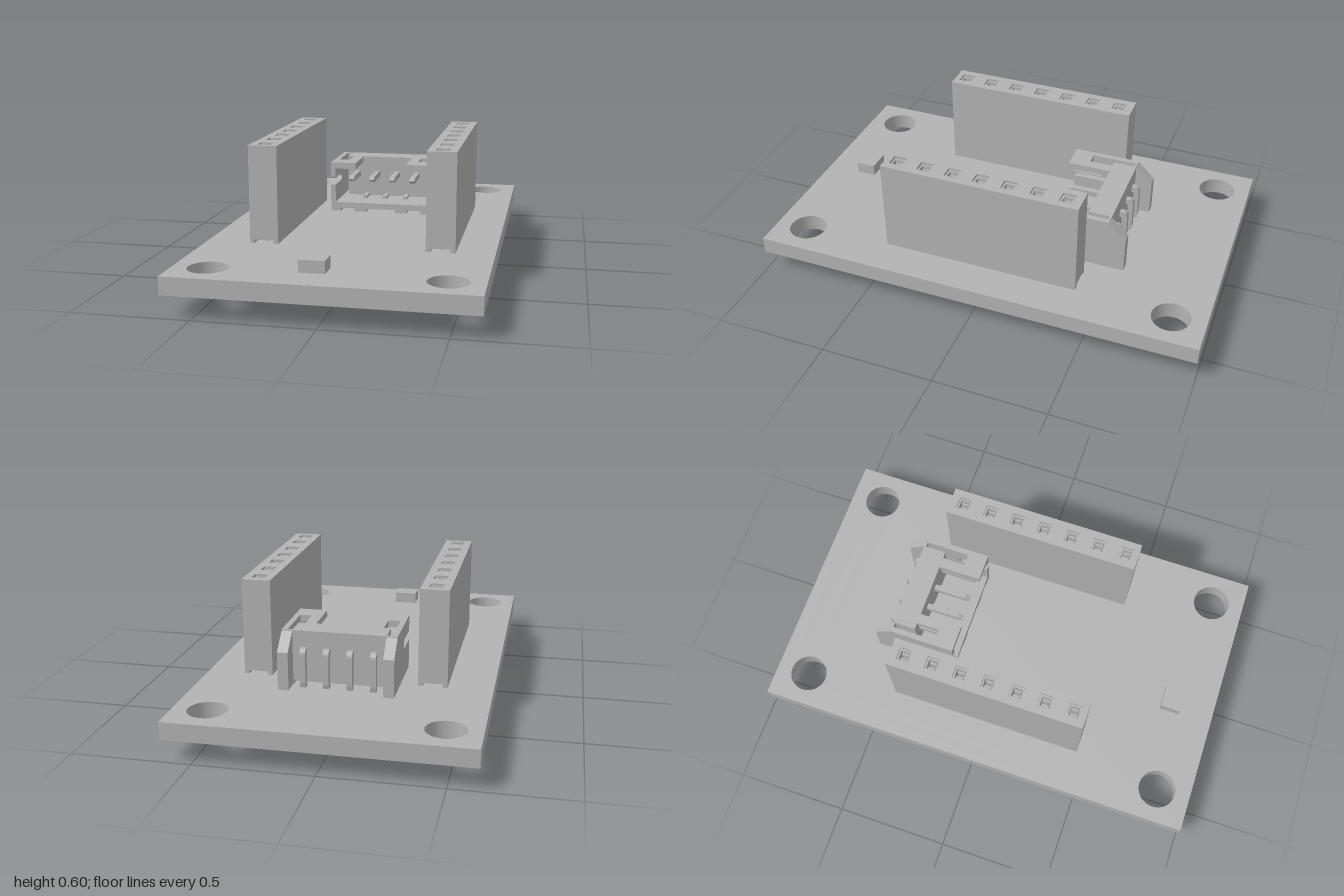
import * as THREE from 'three';

const grey = new THREE.MeshStandardMaterial({ color: 0xb3b3b3 });
grey.name = 'plain grey';

const add = (parent, name, geometry) => {
  const m = new THREE.Mesh(geometry, grey);
  m.name = name;
  parent.add(m);
  return m;
};

// Box given by its limits on each axis
function box(parent, name, x0, x1, y0, y1, z0, z1) {
  const m = add(parent, name, new THREE.BoxGeometry(x1 - x0, y1 - y0, z1 - z0));
  m.position.set((x0 + x1) / 2, (y0 + y1) / 2, (z0 + z1) / 2);
  return m;
}

const polygon = (points) => new THREE.Shape(points.map(([a, b]) => new THREE.Vector2(a, b)));
const rect = (x0, x1, z0, z1) => polygon([[x0, -z1], [x1, -z1], [x1, -z0], [x0, -z0]]);

// Plan outline (x, -z) raised from y0 to y1
function slab(parent, name, shape, y0, y1) {
  const g = new THREE.ExtrudeGeometry(shape, { depth: y1 - y0, bevelEnabled: false, curveSegments: 20 });
  return add(parent, name, g.rotateX(-Math.PI / 2).translate(0, y0, 0));
}

// Side outline (z, y) extended from x0 to x1
function side(parent, name, shape, x0, x1) {
  const g = new THREE.ExtrudeGeometry(shape, { depth: x1 - x0, bevelEnabled: false, curveSegments: 8 });
  return add(parent, name, g.rotateY(-Math.PI / 2).translate(x1, 0, 0));
}

function makeBoard(parent) {
  const outline = rect(-0.622, 0.622, -1, 1);
  for (const x of [-0.476, 0.476]) for (const z of [-0.85, 0.85]) {
    outline.holes.push(new THREE.Path().absarc(x, z, 0.083, 0, Math.PI * 2, true));
  }
  slab(parent, 'circuitBoard', outline, 0.094, 0.17);
}

// Seven-way socket strip centred on x
function makeHeader(parent, x, name) {
  const header = new THREE.Group();
  header.name = name;
  header.position.x = x;
  parent.add(header);
  const hw = 0.0625, z0 = -0.43, z1 = 0.455;
  const zs = Array.from({ length: 7 }, (_, i) => -0.365 + i * 0.1275);
  const layer = (half, y0, y1, part) => {
    const s = rect(-hw, hw, z0, z1);
    for (const z of zs) s.holes.push(rect(-half, half, z - half, z + half));
    slab(header, part, s, y0, y1);
  };
  layer(0.029, 0.583, 0.595, 'socketRim');
  layer(0.021, 0.4, 0.583, 'socketBody');
  box(header, 'socketBase', -hw, hw, 0.185, 0.4, z0, z1);
  for (const s of [-1, 1]) {
    const [a, b] = s < 0 ? [-hw, -hw + 0.02] : [hw - 0.02, hw];
    box(header, 'socketFoot', a, b, 0.17, 0.185, z0, z1);
  }
  for (const z of zs) {
    // Spring contacts and the flat solder tail
    for (const s of [-1, 1]) box(header, 'contact', s * 0.011 - 0.004, s * 0.011 + 0.004, 0.4, 0.57, z - 0.016, z + 0.016);
    side(header, 'solderTail', polygon([
      [z - 0.016, 0.19], [z - 0.016, 0.06], [z - 0.008, 0.022], [z, 0.018],
      [z + 0.008, 0.022], [z + 0.016, 0.06], [z + 0.016, 0.19]]), -0.004, 0.004);
  }
}

// Four-way side-entry plug housing, mirrored about its own centre
function makeConnector(parent) {
  const plug = new THREE.Group();
  plug.name = 'plugConnector';
  plug.position.x = 0.017;
  parent.add(plug);
  const half = 0.246, front = -0.21, back = -0.51;

  box(plug, 'plugFloor', -half, half, 0.185, 0.213, back, front);
  box(plug, 'plugBackWall', -0.2, 0.2, 0.185, 0.41, back, -0.405);

  // Roof with a front slot and two side windows
  const roof = polygon([[-half, -front], [-0.123, -front], [-0.123, 0.405], [0.123, 0.405],
    [0.123, -front], [half, -front], [half, -back], [-half, -back]]);
  for (const s of [-1, 1]) {
    const [a, b] = s < 0 ? [-0.222, -0.17] : [0.17, 0.222];
    roof.holes.push(rect(a, b, -0.5, -0.3));
  }
  slab(plug, 'plugRoof', roof, 0.38, 0.41);

  // Side wall with a round-ended latch groove
  const wall = new THREE.Shape();
  wall.moveTo(back, 0.17);
  wall.lineTo(front, 0.17);
  wall.lineTo(front, 0.3);
  wall.lineTo(-0.33, 0.3);
  wall.absarc(-0.33, 0.32, 0.02, -Math.PI / 2, Math.PI / 2, true);
  wall.lineTo(front, 0.34);
  wall.lineTo(front, 0.41);
  wall.lineTo(back, 0.41);

  const wing = polygon([[-0.587, 0.17], [-0.5, 0.17], [-0.5, 0.41], [-0.505, 0.41], [-0.587, 0.335]]);
  for (const s of [-1, 1]) {
    const span = (a, b) => (s < 0 ? [-b, -a] : [a, b]);
    side(plug, 'plugSideWall', wall, ...span(0.223, half));
    side(plug, 'plugRearWing', wing, ...span(0.2, half));
    const [a, b] = span(0.197, half);
    box(plug, 'plugFoot', a, b, 0.17, 0.185, back, front);
    const [c, d] = span(0.07, 0.13);
    box(plug, 'plugFoot', c, d, 0.17, 0.185, -0.45, front);
  }
  for (const x of [-0.1, 0, 0.1]) box(plug, 'floorRib', x - 0.01, x + 0.01, 0.213, 0.226, -0.405, -0.33);

  // Bent pins with tapered tips
  const pin = new THREE.Shape();
  pin.moveTo(-0.235, 0.322);
  pin.lineTo(-0.235, 0.328);
  pin.lineTo(-0.255, 0.338);
  pin.lineTo(-0.52, 0.338);
  pin.quadraticCurveTo(-0.545, 0.338, -0.545, 0.312);
  pin.lineTo(-0.545, 0.19);
  pin.lineTo(-0.528, 0.1);
  pin.lineTo(-0.528, 0.015);
  pin.lineTo(-0.52, 0);
  pin.lineTo(-0.512, 0);
  pin.lineTo(-0.503, 0.015);
  pin.lineTo(-0.503, 0.1);
  pin.lineTo(-0.52, 0.19);
  pin.lineTo(-0.52, 0.312);
  pin.lineTo(-0.255, 0.312);
  for (const x of [-0.15, -0.05, 0.05, 0.15]) side(plug, 'plugPin', pin, x - 0.0125, x + 0.0125);
}

export function createModel() {
  const model = new THREE.Group();
  model.name = 'breakoutBoard';
  makeBoard(model);
  makeHeader(model, -0.367, 'rightHeader');
  makeHeader(model, 0.395, 'leftHeader');
  makeConnector(model);
  box(model, 'chipComponent', -0.11, -0.002, 0.17, 0.222, 0.757, 0.847);
  return model;
}
